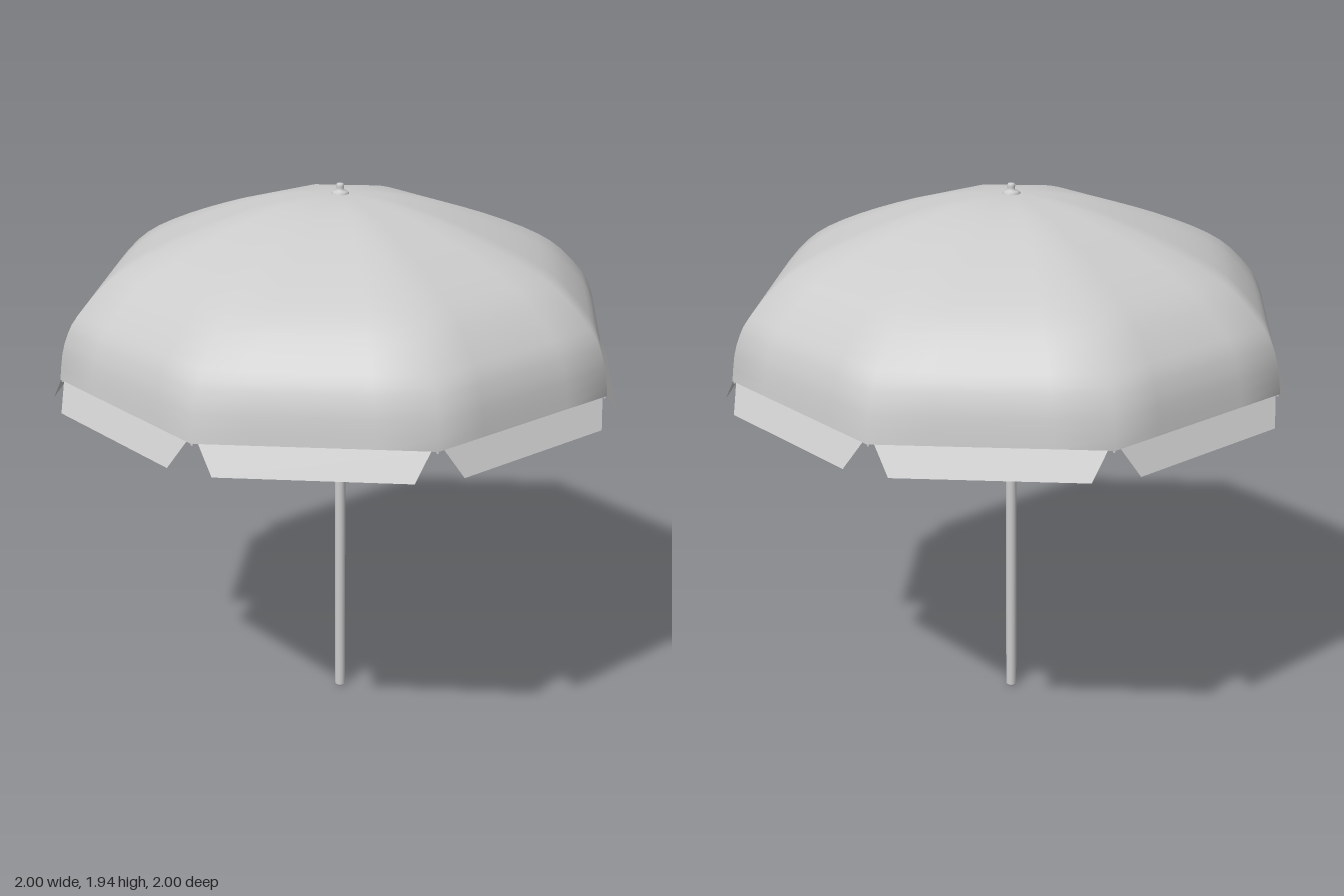
import * as THREE from 'three';

const SIDES = 8;
const RIM_R = 0.985, RIM_Y = 1.34, HEM_R = 1.033, HEM_Y = 1.25;

// Rib curve from crown to rim: radius, height
const ribCurve = new THREE.SplineCurve([
  [0, 1.906], [0.14, 1.9], [0.3, 1.87], [0.45, 1.825], [0.605, 1.768], [0.74, 1.706],
  [0.83, 1.645], [0.916, 1.556], [0.95, 1.5], [0.973, 1.43], [RIM_R, RIM_Y],
].map(([r, y]) => new THREE.Vector2(r, y)));

// Point on an octagon of corner radius r: t runs 0..1 along the given side
function onSide(side, t, r, y) {
  const corner = (i) => {
    const a = (i / SIDES) * Math.PI * 2;
    return new THREE.Vector3(Math.sin(a) * r, y, Math.cos(a) * r);
  };
  return corner(side).lerp(corner(side + 1), t);
}

function buildGeometry(points, index) {
  const geometry = new THREE.BufferGeometry().setFromPoints(points);
  geometry.setIndex(index);
  geometry.computeVertexNormals();
  return geometry;
}

// Eight flat-sided panels with softly shaded corners
function canopyGeometry() {
  const columns = [0, 0.25, 0.75];
  const rows = 20;
  const n = SIDES * columns.length;
  const points = [new THREE.Vector3(0, 1.906, 0)];
  const index = [];
  for (let row = 1; row <= rows; row++) {
    const p = ribCurve.getPoint(row / rows);
    for (let s = 0; s < SIDES; s++) {
      for (const t of columns) points.push(onSide(s, t, p.x, p.y));
    }
  }
  for (let k = 0; k < n; k++) {
    const next = (k + 1) % n;
    index.push(0, 1 + k, 1 + next);
    for (let row = 0; row < rows - 1; row++) {
      const a = 1 + row * n + k, b = 1 + row * n + next;
      index.push(a, a + n, b, b, a + n, b + n);
    }
  }
  return buildGeometry(points, index);
}

// One hanging flap, tapered at the ends to leave a notch at each corner
function flapGeometry(side) {
  return buildGeometry([
    onSide(side, 0.03, RIM_R, RIM_Y), onSide(side, 0.97, RIM_R, RIM_Y),
    onSide(side, 0.11, HEM_R, HEM_Y), onSide(side, 0.89, HEM_R, HEM_Y),
  ], [0, 2, 1, 1, 2, 3]);
}

function lathe(profile, segments = 20) {
  return new THREE.LatheGeometry(profile.map(([r, y]) => new THREE.Vector2(r, y)), segments);
}

export function createModel() {
  const model = new THREE.Group();
  model.name = 'parasol';
  const grey = new THREE.MeshStandardMaterial({ color: 0xcccccc, side: THREE.DoubleSide });
  grey.name = 'light grey';
  const add = (name, geometry, parent = model) => {
    const mesh = new THREE.Mesh(geometry, grey);
    mesh.name = name;
    parent.add(mesh);
    return mesh;
  };

  // Canopy and valance
  add('canopy', canopyGeometry());
  const valance = new THREE.Group();
  valance.name = 'valance';
  model.add(valance);
  for (let s = 0; s < SIDES; s++) add('flap', flapGeometry(s), valance);

  // Pole with a slightly rounded foot
  add('pole', lathe([[0, 0], [0.014, 0], [0.019, 0.008], [0.019, 1.9], [0, 1.9]]));

  // Finial above the crown
  add('finial', lathe([
    [0.031, 1.896], [0.031, 1.908], [0.025, 1.914], [0.014, 1.917],
    [0.012, 1.926], [0.014, 1.932], [0.011, 1.94], [0, 1.942],
  ]));

  // Collars that carry the ribs and the struts
  add('crownCollar', lathe([[0.019, 1.86], [0.03, 1.865], [0.03, 1.888], [0.019, 1.892]]));
  add('runner', lathe([
    [0.019, 1.665], [0.026, 1.668], [0.026, 1.695], [0.034, 1.698],
    [0.034, 1.72], [0.026, 1.723], [0.019, 1.74],
  ]));

  // Curved ribs under the corners, each braced by a strut
  const ribPath = new THREE.CatmullRomCurve3(
    ribCurve.getPoints(20).slice(1).map((p) => new THREE.Vector3(0, p.y - 0.008, p.x - 0.008)));
  const ribGeometry = new THREE.TubeGeometry(ribPath, 32, 0.005, 6);
  const strutPath = new THREE.LineCurve3(
    new THREE.Vector3(0, 1.71, 0.028), new THREE.Vector3(0, 1.755, 0.585));
  const strutGeometry = new THREE.TubeGeometry(strutPath, 1, 0.005, 6);
  for (let s = 0; s < SIDES; s++) {
    const arm = new THREE.Group();
    arm.name = 'ribAndStrut';
    arm.rotation.y = (s / SIDES) * Math.PI * 2;
    add('rib', ribGeometry, arm);
    add('strut', strutGeometry, arm);
    model.add(arm);
  }
  return model;
}
